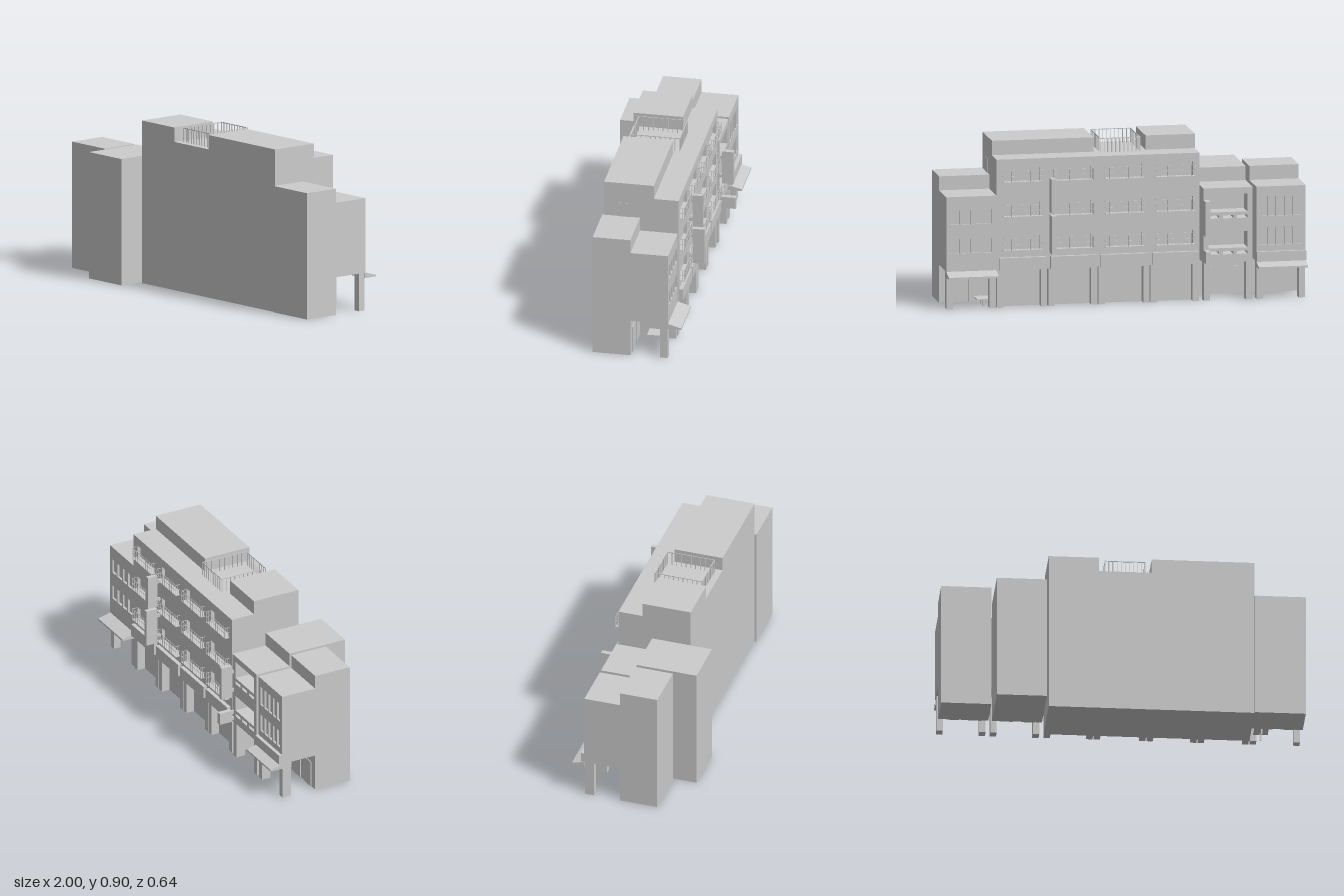
import * as THREE from 'three';

const mat = new THREE.MeshStandardMaterial({ color: 0xcccccc, flatShading: true, side: THREE.DoubleSide });

function add(parent, name, geo) {
  const m = new THREE.Mesh(geo, mat);
  m.name = name;
  parent.add(m);
  return m;
}

// Box given by its limits
function box(parent, name, x0, x1, y0, y1, z0, z1) {
  const g = new THREE.BoxGeometry(x1 - x0, y1 - y0, Math.abs(z1 - z0));
  g.translate((x0 + x1) / 2, (y0 + y1) / 2, (z0 + z1) / 2);
  return add(parent, name, g);
}

// Side outline of [z, y] points, stretched from x0 to x1
function sideProfile(parent, name, pts, x0, x1) {
  const s = new THREE.Shape(pts.map(p => new THREE.Vector2(p[0], p[1])));
  const g = new THREE.ExtrudeGeometry(s, { depth: x1 - x0, bevelEnabled: false });
  g.rotateY(-Math.PI / 2).translate(x1, 0, 0);
  return add(parent, name, g);
}

// Wall plate with rectangular openings [x0, x1, y0, y1]
function facade(parent, x0, x1, y0, y1, zFront, thick, holes) {
  const rect = (C, a, b, c, d) => new C([[a, c], [b, c], [b, d], [a, d]].map(p => new THREE.Vector2(...p)));
  const s = rect(THREE.Shape, x0, x1, y0, y1);
  s.holes = holes.map(h => rect(THREE.Path, ...h));
  const g = new THREE.ExtrudeGeometry(s, { depth: thick, bevelEnabled: false });
  g.translate(0, 0, zFront);
  add(parent, 'streetWall', g);
}

const ARCADE = 0.21;

// One row house: stepped body with recessed shop, pierced street wall, two pillars
function house(root, name, o) {
  const g = new THREE.Group();
  g.name = name;
  root.add(g);
  const zi = o.front + o.wall;
  const pts = [[o.back, 0], [o.shop, 0], [o.shop, ARCADE], [zi, ARCADE], [zi, o.low]];
  if (o.high > o.low) pts.push([o.step, o.low], [o.step, o.high]);
  pts.push([o.back, o.high]);
  sideProfile(g, 'body', pts, o.x0, o.x1);
  facade(g, o.x0, o.x1, ARCADE, o.low, o.front, o.wall, o.holes);
  const w = 0.035;
  for (const x of [o.x0 + 0.003, o.x1 - w - 0.003])
    box(g, 'pillar', x, x + w, 0, ARCADE, o.front + 0.003, -0.175);
  return g;
}

// Projecting window cage of thin bars
function windowCage(parent, cx, w, y0, y1, zWall) {
  const t = 0.0025, z = zWall - 0.028, x0 = cx - w / 2, x1 = cx + w / 2, n = 11;
  const g = new THREE.Group();
  g.name = 'windowCage';
  parent.add(g);
  box(g, 'cageFloor', x0, x1, y0, y0 + t, z, zWall);
  for (const y of [y0, y0 + (y1 - y0) * 0.5, y1 - t]) {
    box(g, 'rail', x0, x1, y, y + t, z, z + t);
    for (const x of [x0, x1 - t]) box(g, 'sideRail', x, x + t, y, y + t, z, zWall);
  }
  for (let i = 0; i < n; i++) {
    const x = x0 + (w - t) * i / (n - 1);
    box(g, 'bar', x, x + t, y0, y1, z, z + t);
  }
  for (const x of [x0, x1 - t]) box(g, 'sideBar', x, x + t, y0, y1, z + 0.013, z + 0.013 + t);
}

// Row of equal window openings
function windowRow(x0, x1, y0, y1, n, gap) {
  const w = (x1 - x0 - gap * (n - 1)) / n;
  return Array.from({ length: n }, (_, i) => {
    const x = x0 + i * (w + gap);
    return [x, x + w, y0, y1];
  });
}

// Sloped canopy over the pavement
function awning(parent, x0, x1, z, reach) {
  sideProfile(parent, 'awning', [[z, 0.21], [z, 0.18], [z - reach, 0.18], [z - reach, 0.19]], x0, x1);
}

// Upright sign box with two brackets
function sign(parent, x0, x1, y0, y1, z0, zWall) {
  box(parent, 'signBox', x0, x1, y0, y1, z0, -0.247);
  const xm = (x0 + x1) / 2, h = y1 - y0;
  for (const f of [0.2, 0.78])
    box(parent, 'signBracket', xm - 0.004, xm + 0.004, y0 + h * f - 0.01, y0 + h * f + 0.01, -0.247, zWall);
}

export function createModel() {
  const root = new THREE.Group();
  root.name = 'rowHouses';

  // Four tall houses
  const floors = [[0.32, 0.387], [0.507, 0.575], [0.70, 0.766]];
  const tall = [[-0.41, -0.135], [-0.135, 0.155], [0.155, 0.435], [0.435, 0.72]];
  tall.forEach(([x0, x1], i) => {
    const cx = (x0 + x1) / 2;
    const g = house(root, 'tallHouse', {
      x0, x1, back: 0.19, shop: -0.175, front: -0.225, wall: 0.02,
      low: 0.825, high: i === 1 ? 0.825 : 0.905, step: -0.087,
      holes: floors.map(([a, b]) => [cx - 0.1, cx + 0.1, a, b + 0.01]),
    });
    for (const [a, b] of floors) windowCage(g, cx, 0.22, a, b, -0.225);
    box(g, 'shopFascia', x0 + 0.012, x1 - 0.012, 0.21, 0.28, -0.247, -0.224);
  });
  box(root, 'roofDoor', 0.718, 0.722, 0.70, 0.785, 0.05, 0.11);

  // Roof terrace railing
  const rail = new THREE.Group();
  rail.name = 'terraceRailing';
  root.add(rail);
  const t = 0.004, X0 = -0.10, X1 = 0.125, Z0 = -0.12, Z1 = 0.155, n = 10;
  for (const z of [Z0, Z1 - t]) box(rail, 'topRail', X0, X1, 0.901, 0.905, z, z + t);
  for (const x of [X0, X1 - t]) box(rail, 'topRail', x, x + t, 0.901, 0.905, Z0, Z1);
  for (let i = 0; i <= n; i++) {
    const x = X0 + (X1 - X0 - t) * i / n, z = Z0 + (Z1 - Z0 - t) * i / n;
    for (const zz of [Z0, Z1 - t]) box(rail, 'post', x, x + t, 0.825, 0.903, zz, zz + t);
    if (i > 0 && i < n)
      for (const xx of [X0, X1 - t]) box(rail, 'post', xx, xx + t, 0.825, 0.903, z, z + t);
  }

  // Low end house on the left
  const endL = house(root, 'leftEndHouse', {
    x0: 0.72, x1: 1.0, back: 0.20, shop: -0.01, front: -0.22, wall: 0.012, low: 0.625, high: 0.703, step: -0.01,
    holes: [...windowRow(0.745, 0.975, 0.47, 0.55, 4, 0.012), ...windowRow(0.745, 0.975, 0.31, 0.39, 4, 0.012)],
  });
  awning(endL, 0.72, 1.0, -0.218, 0.076);
  box(endL, 'tableTop', 0.74, 0.82, 0.037, 0.042, -0.172, -0.068);
  for (const z of [-0.085, -0.16]) box(endL, 'tableLeg', 0.775, 0.785, 0, 0.037, z - 0.004, z + 0.004);

  // Low end house on the right
  const endR = house(root, 'rightEndHouse', {
    x0: -1.0, x1: -0.725, back: 0.19, shop: -0.025, front: -0.23, wall: 0.012, low: 0.625, high: 0.703, step: -0.025,
    holes: [...windowRow(-0.975, -0.75, 0.46, 0.57, 5, 0.01), ...windowRow(-0.975, -0.75, 0.30, 0.40, 5, 0.01)],
  });
  awning(endR, -1.0, -0.725, -0.228, 0.074);
  box(endR, 'shopFascia', -1.0, -0.725, 0.21, 0.265, -0.25, -0.229);

  // Low house with open balconies
  const balc = house(root, 'balconyHouse', {
    x0: -0.705, x1: -0.43, back: 0.32, shop: -0.025, front: -0.23, wall: 0.1, low: 0.625, high: 0.703, step: -0.025,
    holes: [[-0.675, -0.46, 0.49, 0.59], [-0.675, -0.46, 0.29, 0.38],
      ...windowRow(-0.675, -0.46, 0.455, 0.472, 3, 0.02), ...windowRow(-0.675, -0.46, 0.255, 0.272, 3, 0.02)],
  });

  // Shop doors at the back of the deep arcades
  for (const [g, x, z] of [[endL, 0.86, -0.01], [endR, -0.86, -0.025], [balc, -0.567, -0.025]])
    for (const s of [-1, 1]) box(g, 'shopDoor', x + s * 0.06 - 0.035, x + s * 0.06 + 0.035, 0, 0.15, z - 0.005, z + 0.001);

  // Hanging signs
  const signs = new THREE.Group();
  signs.name = 'signs';
  root.add(signs);
  sign(signs, 0.405, 0.43, 0.53, 0.72, -0.305, -0.224);
  sign(signs, 0.405, 0.43, 0.305, 0.515, -0.315, -0.224);
  sign(signs, -0.455, -0.427, 0.37, 0.565, -0.312, -0.229);
  sign(signs, -0.455, -0.427, 0.22, 0.287, -0.324, -0.229);
  return root;
}
